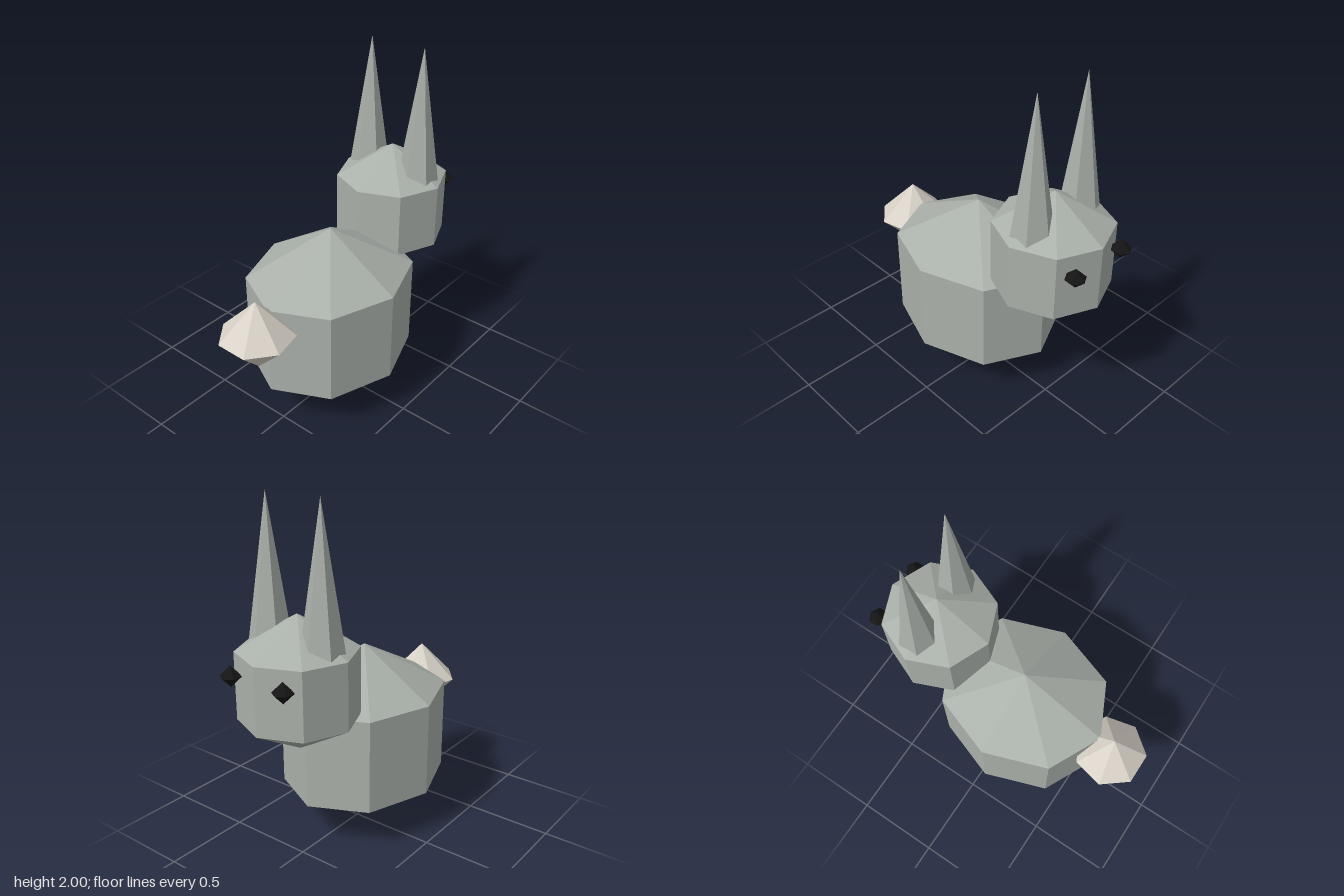
import * as THREE from 'three';

const material = (name, color) => {
  const m = new THREE.MeshStandardMaterial({ color, flatShading: true });
  m.name = name;
  return m;
};

export function createModel() {
  const group = new THREE.Group();
  const greyFur = material('grey fur', 0xaab0aa);
  const creamFur = material('cream fur', 0xd8d2c8);
  const black = material('black', 0x151515);

  const add = (name, geometry, mat, x, y, z) => {
    const mesh = new THREE.Mesh(geometry, mat);
    mesh.name = name;
    mesh.position.set(x, y, z);
    group.add(mesh);
    return mesh;
  };

  // Body: coarse stretched sphere, touching the ground at its tip
  add('body', new THREE.SphereGeometry(1, 8, 3), greyFur, -0.07, 0.545, 0).scale.set(0.6, 0.54, 0.51);

  // Head
  add('head', new THREE.SphereGeometry(0.374, 8, 3), greyFur, 0.493, 1.028, 0);

  // Tail: seven-sided double pyramid with a flat side to the rear
  add('tail', new THREE.SphereGeometry(0.211, 7, 2), creamFur, -0.67, 0.705, 0).rotation.y = Math.PI;

  // Ears and eyes, one of each per side
  for (const side of [-1, 1]) {
    const label = side < 0 ? 'far' : 'near';
    add(label + 'Ear', new THREE.ConeGeometry(0.121, 0.8, 6), greyFur, 0.505, 1.6, side * 0.175).rotation.y = Math.PI / 6;
    add(label + 'Eye', new THREE.SphereGeometry(0.057, 6, 2), black, 0.8, 1.12, side * 0.175);
  }
  return group;
}
